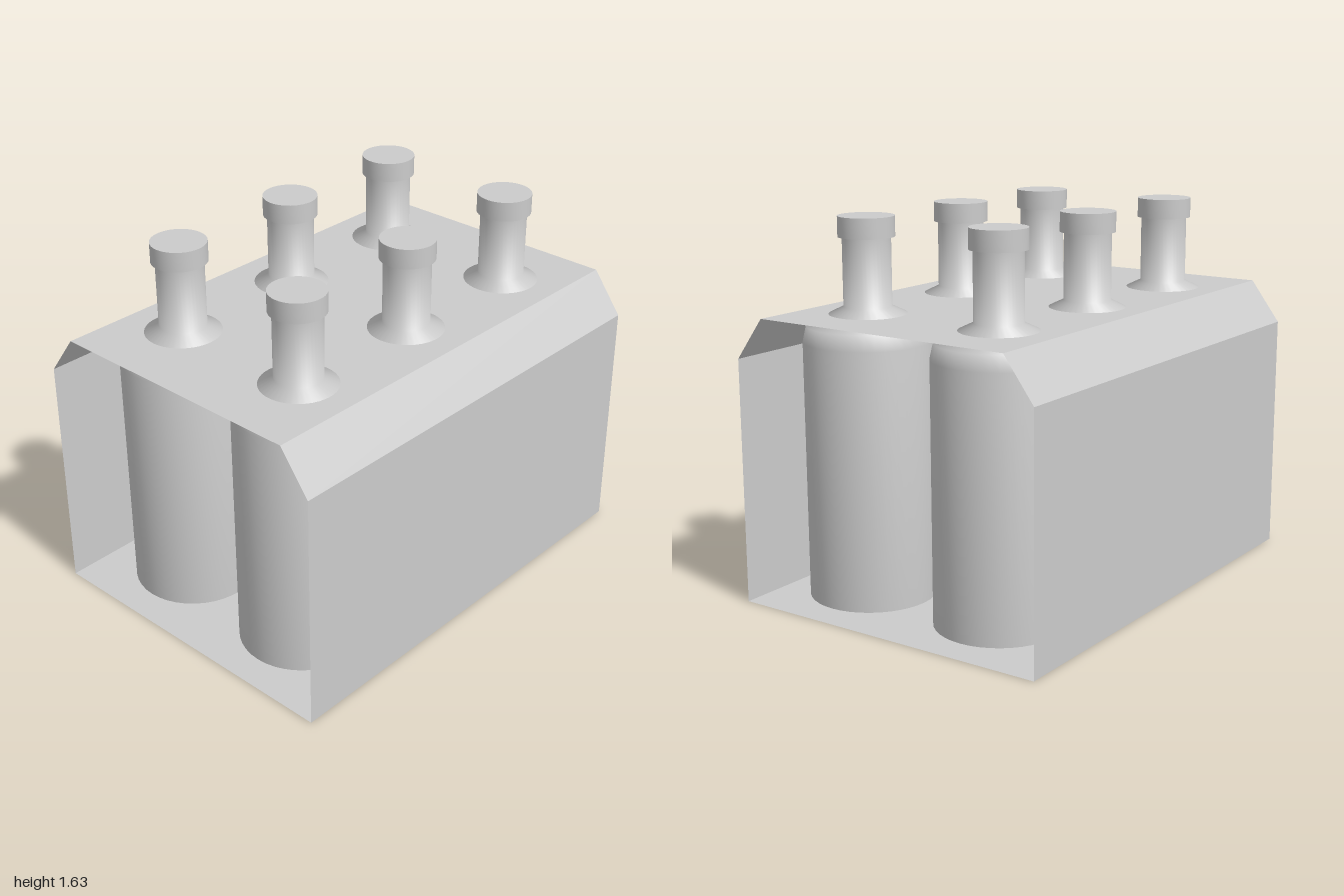
import * as THREE from 'three';
import { toCreasedNormals } from 'three/addons/utils/BufferGeometryUtils.js';

const LENGTH = 2;
const TOP_Y = 1.23;
const TOP_HALF = 0.595;
const COLUMNS = [-0.33, 0.327];
const ROWS = [-0.652, -0.014, 0.624];

// Flat carton panel running the full length between two (x, y) points
function createPanel(name, [x0, y0], [x1, y1], material) {
  const width = Math.hypot(x1 - x0, y1 - y0);
  const panel = new THREE.Mesh(new THREE.PlaneGeometry(width, LENGTH).rotateX(-Math.PI / 2), material);
  panel.position.set((x0 + x1) / 2, (y0 + y1) / 2, 0);
  panel.rotation.z = Math.atan2(y1 - y0, x1 - x0);
  panel.name = name;
  return panel;
}

// Top panel with a round hole for each bottle
function createTopPanel(material) {
  const shape = new THREE.Shape();
  shape.moveTo(-TOP_HALF, -LENGTH / 2);
  shape.lineTo(TOP_HALF, -LENGTH / 2);
  shape.lineTo(TOP_HALF, LENGTH / 2);
  shape.lineTo(-TOP_HALF, LENGTH / 2);
  shape.closePath();
  for (const x of COLUMNS) {
    for (const z of ROWS) {
      shape.holes.push(new THREE.Path().absarc(x, -z, 0.16, 0, Math.PI * 2, true));
    }
  }
  const top = new THREE.Mesh(new THREE.ShapeGeometry(shape, 24).rotateX(-Math.PI / 2), material);
  top.position.y = TOP_Y;
  top.name = 'cartonTop';
  return top;
}

// Turned solid, smooth along the profile except at square edges
function createTurned(profile) {
  const points = profile.map(([r, y]) => new THREE.Vector2(r, y));
  return toCreasedNormals(new THREE.LatheGeometry(points, 40), 1.2);
}

export function createModel() {
  const model = new THREE.Group();
  model.name = 'bottleCarrier';
  const glass = new THREE.MeshStandardMaterial({ color: 0xcccccc });
  const card = new THREE.MeshStandardMaterial({ color: 0xcccccc, side: THREE.DoubleSide });

  // Carton sleeve, open at front and back
  const carton = new THREE.Group();
  carton.name = 'carton';
  carton.add(createPanel('cartonFloor', [-0.73, 0], [0.73, 0], card));
  for (const [side, s] of [['left', 1], ['right', -1]]) {
    carton.add(createPanel(`${side}Wall`, [s * 0.73, 0], [s * 0.73, 1.05], card));
    carton.add(createPanel(`${side}Slope`, [s * 0.73, 1.05], [s * TOP_HALF, TOP_Y], card));
  }
  carton.add(createTopPanel(card));
  model.add(carton);

  // Bottles with caps, two columns of three
  const bodyGeometry = createTurned([
    [0, 0.03], [0.27, 0.03], [0.27, 1.12], [0.255, 1.185], [0.1, 1.26], [0.1, 1.55],
  ]);
  const capGeometry = createTurned([[0, 1.545], [0.117, 1.545], [0.117, 1.63], [0, 1.63]]);
  for (const x of COLUMNS) {
    for (const z of ROWS) {
      const bottle = new THREE.Group();
      bottle.name = 'bottle';
      const body = new THREE.Mesh(bodyGeometry, glass);
      body.name = 'bottleBody';
      const cap = new THREE.Mesh(capGeometry, glass);
      cap.name = 'bottleCap';
      bottle.add(body, cap);
      bottle.position.set(x, 0, z);
      model.add(bottle);
    }
  }
  return model;
}
